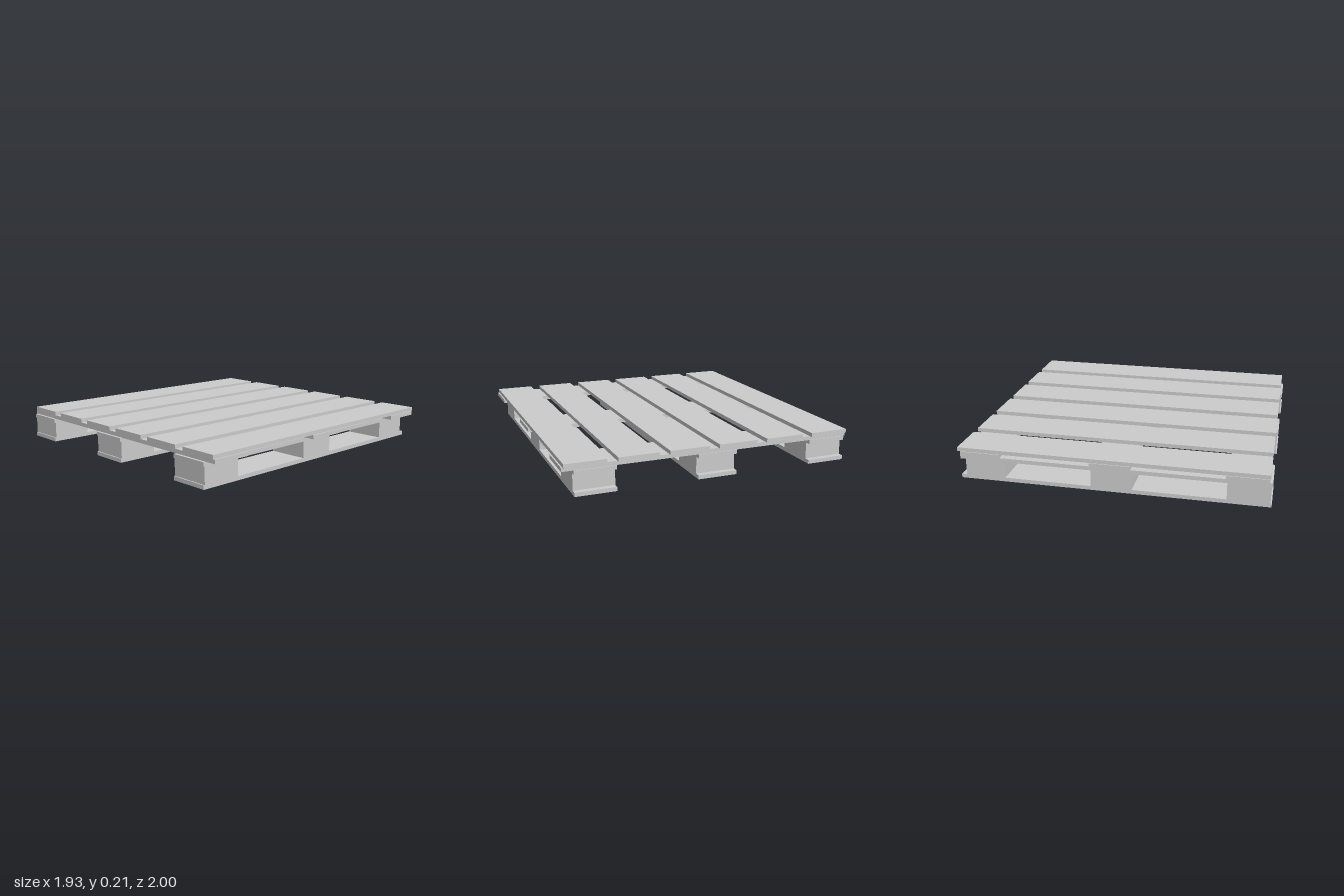
import * as THREE from 'three';

export function createModel() {
  const pallet = new THREE.Group();
  pallet.name = 'pallet';
  const material = new THREE.MeshStandardMaterial({ color: 0xcccccc, flatShading: true });
  const W = 0.262; // plank width
  const T = 0.026; // plank thickness
  const blockH = 0.109;

  // Box standing on height y, centred on x and z
  function plank(name, w, h, d, x, y, z) {
    const mesh = new THREE.Mesh(new THREE.BoxGeometry(w, h, d), material);
    mesh.name = name;
    mesh.position.set(x, y + h / 2, z);
    pallet.add(mesh);
  }

  // Three runners: bottom board, spacer blocks and upper board
  const upperY = T + blockH;
  [-0.822, -0.031, 0.759].forEach((x, i) => {
    plank(`bottomBoard${i + 1}`, W, T, 1.985, x, 0, 0.0075);
    [-0.818, 0.011, 0.861].forEach((z, j) => {
      plank(`block${i + 1}_${j + 1}`, W, blockH, W, x, T, z);
    });
    plank(`upperBoard${i + 1}`, W, T, 1.985, x, upperY, 0.0075);
  });

  // Three cross boards tying the runners together
  [-0.849, 0.003, 0.852].forEach((z, i) => {
    plank(`crossBoard${i + 1}`, 1.927, T, W, 0, upperY + T, z);
  });

  // Six deck boards
  for (let i = 0; i < 6; i++) {
    plank(`deckBoard${i + 1}`, W, T, 1.986, -0.827 + i * 0.33, upperY + 2 * T, -0.007);
  }

  return pallet;
}
